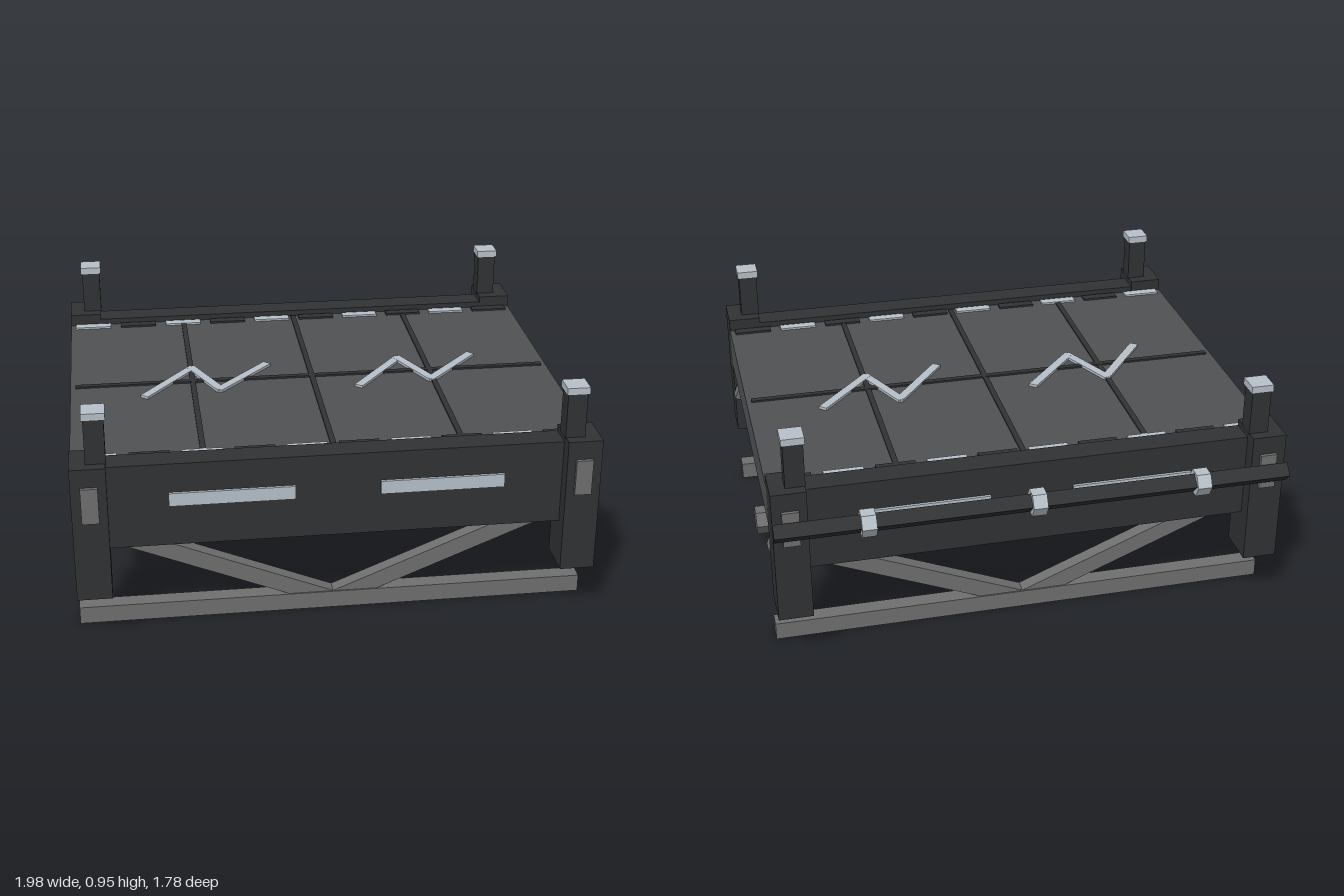
import * as THREE from 'three';

const paint = (color) => new THREE.MeshStandardMaterial({ color, flatShading: true });

export function createModel() {
  const model = new THREE.Group();
  const dark = paint(0x303234), deckGrey = paint(0x505254);
  const steel = paint(0x707070), light = paint(0xb8c2ca);
  const midZ = 0.03; // centre line of the platform, shifted by the rear pipe

  const add = (name, geometry, material, x, y, z) => {
    const mesh = new THREE.Mesh(geometry, material);
    mesh.name = name;
    mesh.position.set(x, y, z);
    model.add(mesh);
    return mesh;
  };
  const box = (name, material, w, h, d, x, y, z) =>
    add(name, new THREE.BoxGeometry(w, h, d), material, x, y, z);
  // Prism lying along x, with corners pointing to +z and -z
  const rod = (name, material, radius, length, sides, x, y, z) => {
    const geometry = new THREE.CylinderGeometry(radius, radius, length, sides);
    geometry.rotateZ(Math.PI / 2);
    return add(name, geometry, material, x, y, z);
  };

  // Deck with panel seams
  box('deck', deckGrey, 1.97, 0.165, 1.4, 0, 0.6175, midZ);
  for (const x of [-0.49, 0, 0.49]) box('deckSeam', dark, 0.022, 0.012, 1.34, x, 0.7, midZ);
  box('crossSeam', dark, 1.93, 0.012, 0.024, 0, 0.701, midZ - 0.003);

  // Zigzag strips on the deck
  const zigzag = [[-0.684, 0.155], [-0.487, -0.1], [-0.385, 0.128], [-0.18, -0.1]];
  for (const shift of [0, 0.866]) {
    for (let i = 0; i < 3; i++) {
      const [x1, z1] = zigzag[i], [x2, z2] = zigzag[i + 1];
      const length = Math.hypot(x2 - x1, z2 - z1) + 0.025;
      const strip = box('zigzagStrip', light, length, 0.014, 0.036,
        (x1 + x2) / 2 + shift, 0.703 + i * 0.0005, (z1 + z2) / 2);
      strip.rotation.y = -Math.atan2(z2 - z1, x2 - x1);
    }
  }

  for (const s of [1, -1]) {
    // Long girder with light slots on its outer face
    box('girder', dark, 1.75, 0.335, 0.1, 0, 0.5575, midZ + s * 0.732);
    for (const x of [-0.395, 0.395])
      box('girderSlot', light, 0.47, 0.053, 0.02, x, 0.582, midZ + s * 0.783);

    // Alternating light and dark edge blocks
    for (let i = 0; i < 10; i++)
      box('edgeBlock', i % 2 ? dark : light, 0.153, 0.016, 0.04,
        -0.888 + i * 0.1973, 0.7, midZ + s * 0.653);

    // Corner posts with pillars, caps and outer plates
    for (const t of [1, -1]) {
      box('cornerPost', dark, 0.132, 0.54, 0.164, t * 0.919, 0.48, midZ + s * 0.76);
      box('pillar', dark, 0.075, 0.185, 0.075, t * 0.888, 0.8375, midZ + s * 0.763);
      box('pillarCap', light, 0.087, 0.028, 0.087, t * 0.888, 0.939, midZ + s * 0.763);
      box('postPlate', steel, 0.064, 0.142, 0.03, t * 0.917, 0.606, midZ + s * 0.841);

      // Diagonal strut from the lower rail up to the deck corner
      const dx = 0.978, dy = 0.401;
      const strut = box('diagonalStrut', steel, Math.hypot(dx, dy), 0.067, 0.056,
        t * dx / 2, 0.035 + dy / 2, midZ + s * 0.633);
      strut.rotation.z = t * Math.atan2(dy, dx);
    }

    // Lower rail
    box('lowerRail', steel, 1.97, 0.07, 0.066, 0, 0.035, midZ + s * 0.633);
  }

  // Central hexagonal bar
  rod('centreBar', steel, 0.058, 1.97, 6, 0, 0.138, midZ).rotation.x = 0;

  // Rear pipe with collars
  rod('rearPipe', dark, 0.039, 1.972, 4, 0, 0.607, -0.84);
  for (const x of [-0.64, 0, 0.64]) rod('pipeCollar', light, 0.052, 0.056, 6, x, 0.607, -0.84);

  return model;
}
